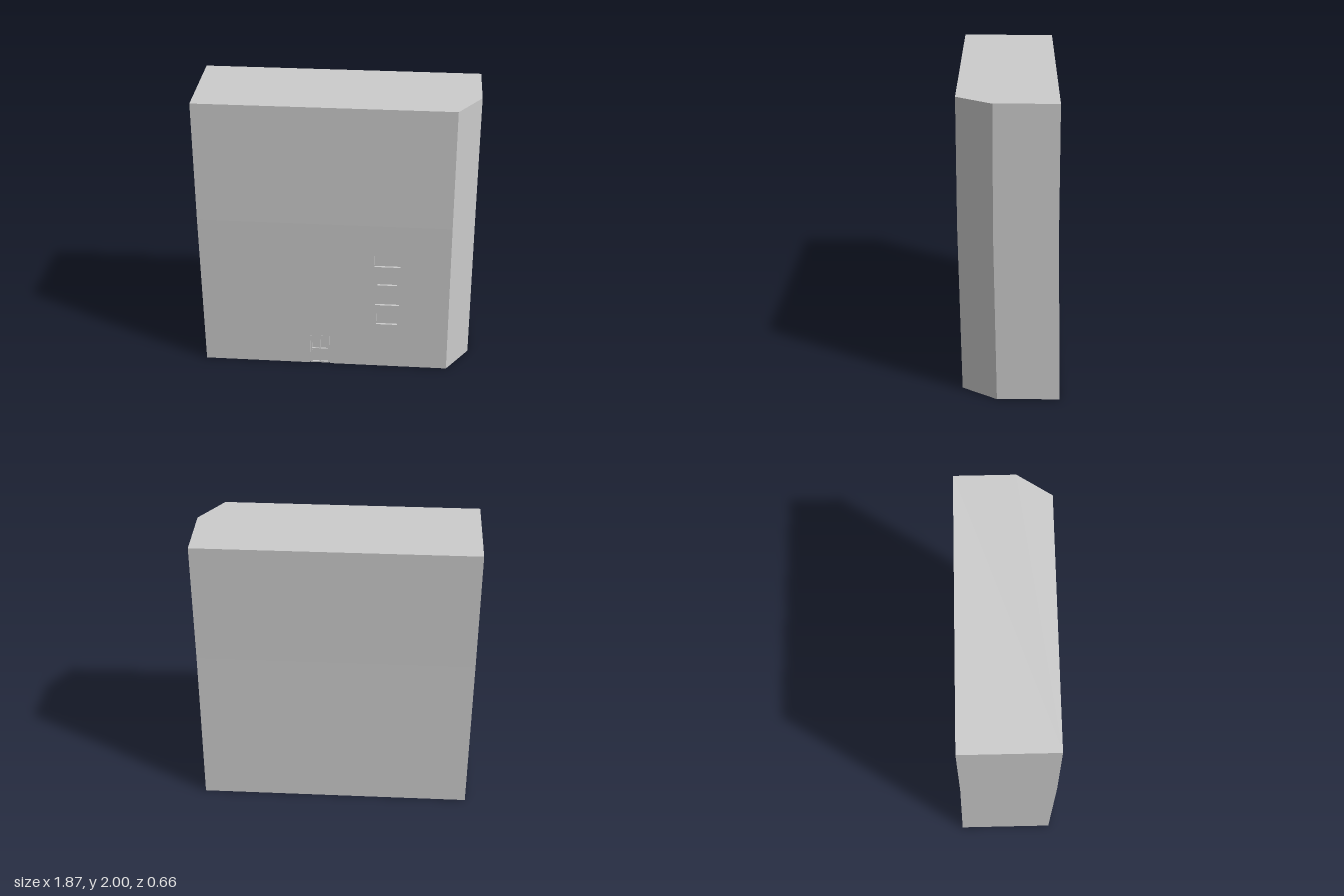
import * as THREE from 'three';

const KINK = 1.15;      // below this height the block leans
const FRONT = 0.33, BACK = -0.31, LEFT = -0.94, RIGHT = 0.93, CUT_X = 0.775, CUT_Z = 0.1;
const RECESS = 0.015;

const material = new THREE.MeshStandardMaterial({ color: 0xcccccc });

// Shear the lower half slightly backwards and sideways
function lean(geometry) {
  const p = geometry.attributes.position;
  for (let i = 0; i < p.count; i++) {
    const t = Math.max(0, 1 - p.getY(i) / KINK);
    p.setX(i, p.getX(i) + 0.004 * t);
    p.setZ(i, p.getZ(i) - 0.02 * t);
  }
  geometry.computeVertexNormals();
  return geometry;
}

function outline(points) {
  return new THREE.Shape(points.map(([x, y]) => new THREE.Vector2(x, y)));
}

function rect(x0, y0, x1, y1) {
  return outline([[x0, y0], [x1, y0], [x1, y1], [x0, y1]]);
}

function part(name, geometry) {
  const mesh = new THREE.Mesh(lean(geometry), material);
  mesh.name = name;
  return mesh;
}

// Storey block from an [x, z] footprint
function block(name, footprint, y0, y1) {
  const shape = outline(footprint.map(([x, z]) => [x, -z]));
  const g = new THREE.ExtrudeGeometry(shape, { depth: y1 - y0, bevelEnabled: false });
  g.rotateX(-Math.PI / 2).translate(0, y0, 0);
  return part(name, g);
}

// Upright slab from a front outline, its back at depth z
function slab(name, shape, z, depth) {
  const g = new THREE.ExtrudeGeometry(shape, { depth, bevelEnabled: false });
  return part(name, g.translate(0, 0, z));
}

export function createModel() {
  const model = new THREE.Group();
  model.name = 'building';
  const inner = FRONT - RECESS;
  const rear = [[RIGHT, CUT_Z], [RIGHT, BACK], [LEFT, BACK]];

  // Main block with one cut corner; the lower half is set back behind its front wall
  model.add(block('upperBlock', [[LEFT, FRONT], [CUT_X, FRONT], ...rear], KINK, 2));
  model.add(block('lowerBlock', [[LEFT, inner], [CUT_X, inner], [CUT_X, FRONT], ...rear], 0, KINK));

  // Front wall with doorway notch and window openings
  const door = { x0: -0.192, x1: -0.052, top: 0.237 };
  const wall = outline([
    [LEFT, 0], [door.x0, 0], [door.x0, door.top], [door.x1, door.top],
    [door.x1, 0], [CUT_X, 0], [CUT_X, KINK], [LEFT, KINK],
  ]);
  const windows = [
    [0.26, 0.83, 0.435, 0.932],
    [0.28, 0.682, 0.414, 0.773],
    [0.264, 0.518, 0.43, 0.62],
    [0.275, 0.358, 0.42, 0.455],
  ];
  wall.holes = windows.map((w) => rect(...w));
  model.add(slab('frontWall', wall, inner, RECESS));

  // Door frame with cross bars around four panes
  const frame = rect(door.x0 + 0.004, 0, door.x1 - 0.004, door.top - 0.004);
  const midX = (door.x0 + door.x1) / 2, midY = 0.118, bar = 0.005;
  for (const [x0, x1] of [[door.x0 + 0.014, midX - bar], [midX + bar, door.x1 - 0.014]]) {
    for (const [y0, y1] of [[0.01, midY - bar], [midY + bar, door.top - 0.014]]) {
      frame.holes.push(rect(x0, y0, x1, y1));
    }
  }
  model.add(slab('doorFrame', frame, inner, 0.01));

  return model;
}
